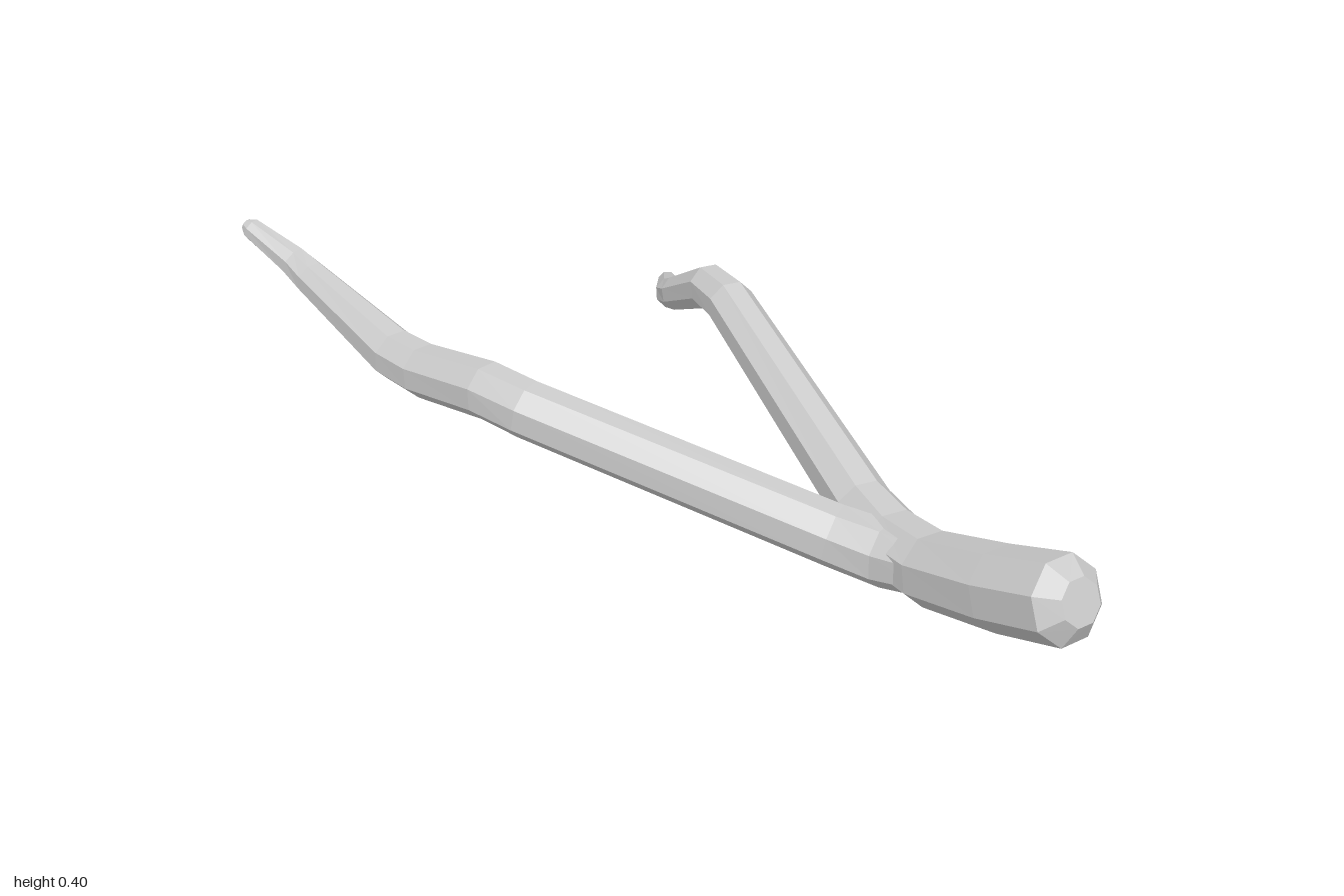
import * as THREE from 'three';

const SIDES = 8;

// Sweeps an octagon with a flat top along rings of [x, y, z, half thickness].
function limb(name, rings, material) {
  const centres = rings.map(([x, y, z]) => new THREE.Vector3(x, y, z));
  const up = new THREE.Vector3(0, 1, 0);
  const last = rings.length - 1;
  const positions = [];
  const index = [];

  centres.forEach((c, i) => {
    // Tangent halfway between the neighbouring segments, for mitred bends
    const dir = new THREE.Vector3();
    if (i > 0) dir.add(c.clone().sub(centres[i - 1]).normalize());
    if (i < last) dir.add(centres[i + 1].clone().sub(c).normalize());
    dir.normalize();
    const side = new THREE.Vector3().crossVectors(dir, up).normalize();
    const top = new THREE.Vector3().crossVectors(side, dir);
    const r = rings[i][3] / Math.cos(Math.PI / SIDES);
    for (let s = 0; s < SIDES; s++) {
      const a = ((s + 0.5) / SIDES) * Math.PI * 2;
      const p = c.clone()
        .addScaledVector(side, Math.cos(a) * r)
        .addScaledVector(top, Math.sin(a) * r);
      positions.push(p.x, p.y, p.z);
    }
  });

  // Bark faces between neighbouring rings
  for (let i = 0; i < last; i++) {
    for (let s = 0; s < SIDES; s++) {
      const n = (s + 1) % SIDES;
      const a = i * SIDES + s, b = i * SIDES + n;
      index.push(a, a + SIDES, b, b, a + SIDES, b + SIDES);
    }
  }
  // Flat ends
  for (let s = 1; s < SIDES - 1; s++) {
    const e = last * SIDES;
    index.push(0, s, s + 1, e, e + s + 1, e + s);
  }

  // Side, top and direction form a left-to-right frame, so flip if inside out
  const geometry = new THREE.BufferGeometry();
  geometry.setAttribute('position', new THREE.Float32BufferAttribute(positions, 3));
  geometry.setIndex(outward(positions, index));
  geometry.computeVertexNormals();
  const mesh = new THREE.Mesh(geometry, material);
  mesh.name = name;
  return mesh;
}

// Makes the closed surface face outward by checking its signed volume.
function outward(positions, index) {
  const v = (i) => new THREE.Vector3().fromArray(positions, i * 3);
  let volume = 0;
  for (let i = 0; i < index.length; i += 3) {
    volume += v(index[i]).dot(v(index[i + 1]).cross(v(index[i + 2])));
  }
  return volume < 0 ? index.slice().reverse() : index;
}

export function createModel() {
  const group = new THREE.Group();
  group.name = 'forkedBranch';
  const material = new THREE.MeshStandardMaterial({ color: 0xcccccc, flatShading: true });

  // Thick butt end running on into the rear branch
  group.add(limb('trunkAndRearBranch', [
    [0.986, 0.208, -0.095, 0.042],
    [0.953, 0.195, -0.096, 0.077],
    [0.80, 0.14, -0.098, 0.075],
    [0.61, 0.082, -0.108, 0.069],
    [0.48, 0.071, -0.125, 0.066],
    [0.36, 0.088, -0.152, 0.057],
    [-0.24, 0.268, -0.285, 0.049],
    [-0.34, 0.266, -0.306, 0.046],
    [-0.50, 0.185, -0.335, 0.037],
    [-0.56, 0.158, -0.358, 0.033],
    [-0.745, 0.09, -0.483, 0.021],
    [-0.758, 0.085, -0.492, 0.012],
  ], material));

  // Front branch splitting off at the fork
  group.add(limb('frontBranch', [
    [0.64, 0.09, -0.108, 0.05],
    [0.50, 0.066, -0.092, 0.061],
    [0.40, 0.077, -0.045, 0.058],
    [-0.10, 0.256, 0.325, 0.055],
    [-0.20, 0.265, 0.352, 0.055],
    [-0.40, 0.238, 0.383, 0.053],
    [-0.50, 0.239, 0.394, 0.051],
    [-0.82, 0.306, 0.417, 0.036],
    [-0.88, 0.327, 0.427, 0.032],
    [-0.978, 0.385, 0.476, 0.022],
    [-0.992, 0.392, 0.482, 0.012],
  ], material));

  return group;
}
